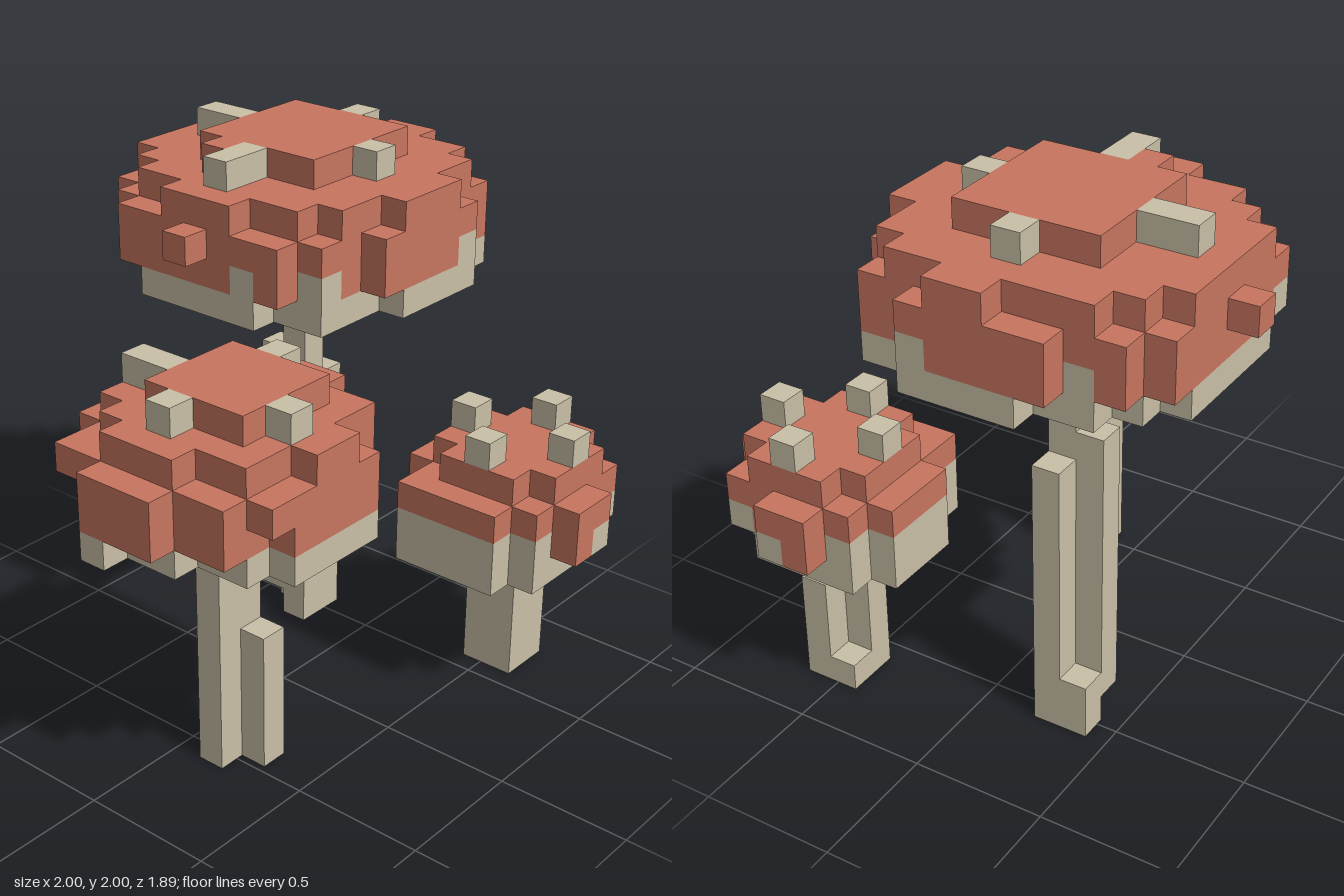
import * as THREE from 'three';

const V = 2 / 19; // size of one block
const red = new THREE.MeshStandardMaterial({ color: 0xc87660 });
red.name = 'capRed';
const cream = new THREE.MeshStandardMaterial({ color: 0xc9c0a7 });
cream.name = 'stemCream';

const key = (i, j, k) => `${i},${j},${k}`;

// outward normal and the two in-plane axes of each block face
const FACES = [
  [[1, 0, 0], [0, 1, 0], [0, 0, 1]], [[-1, 0, 0], [0, 0, 1], [0, 1, 0]],
  [[0, 1, 0], [0, 0, 1], [1, 0, 0]], [[0, -1, 0], [1, 0, 0], [0, 0, 1]],
  [[0, 0, 1], [1, 0, 0], [0, 1, 0]], [[0, 0, -1], [0, 1, 0], [1, 0, 0]],
];

// mesh of the exposed faces of one part's blocks
function blockMesh(name, material, cells, solid) {
  const pos = [], nor = [];
  for (const [i, j, k] of cells) {
    for (const [n, u, v] of FACES) {
      if (solid.has(key(i + n[0], j + n[1], k + n[2]))) continue;
      const corner = (a, b) => [i, j, k].map((c, d) => (c + 0.5 + n[d] / 2 + a * u[d] + b * v[d]) * V);
      const [p, q, r, s] = [corner(-0.5, -0.5), corner(0.5, -0.5), corner(0.5, 0.5), corner(-0.5, 0.5)];
      for (const c of [p, q, r, p, r, s]) {
        pos.push(c[0] - 1, c[1], c[2] - 9 * V);
        nor.push(...n);
      }
    }
  }
  const g = new THREE.BufferGeometry();
  g.setAttribute('position', new THREE.Float32BufferAttribute(pos, 3));
  g.setAttribute('normal', new THREE.Float32BufferAttribute(nor, 3));
  const mesh = new THREE.Mesh(g, material);
  mesh.name = name;
  return mesh;
}

/* layers: { y, z, rows: [[xMin, xMax], ...], rim: 'all' | 'edge' | undefined }
   stem: [x, z, yBottom, yTop]; spots and nubs: [x, y, z]
   patches: blocks [x, y, z] whose colour is the opposite of their layer */
function mushroom(name, { stem, layers, nubs = [], spots, patches }) {
  const parts = { stem: [], cap: [], rim: [], spots };
  const flip = new Set(patches.map((p) => key(...p)));
  for (const [i, k, lo, hi] of stem) for (let j = lo; j < hi; j++) parts.stem.push([i, j, k]);
  for (const { y, z, rows, rim } of layers) {
    const has = (i, k) => rows[k - z] && i >= rows[k - z][0] && i <= rows[k - z][1];
    rows.forEach(([a, b], r) => {
      for (let i = a; i <= b; i++) {
        const k = z + r;
        let edge = false;
        for (let dx = -1; dx < 2; dx++) for (let dz = -1; dz < 2; dz++) edge ||= !has(i + dx, k + dz);
        const pale = (rim === 'all' || (rim === 'edge' && edge)) !== flip.has(key(i, y, k));
        parts[pale ? 'rim' : 'cap'].push([i, y, k]);
      }
    });
  }
  parts.cap.push(...nubs);
  const solid = new Set(Object.values(parts).flat().map((c) => key(...c)));
  const group = new THREE.Group();
  group.name = name;
  for (const [part, cells] of Object.entries(parts)) {
    group.add(blockMesh(part, part === 'cap' ? red : cream, cells, solid));
  }
  return group;
}

export function createModel() {
  const model = new THREE.Group();
  model.name = 'mushrooms';

  // tall mushroom at the back
  const tallBody = [[10, 16], [9, 17], [8, 17], [8, 18], [8, 18], [8, 18], [8, 18], [8, 18], [8, 17], [9, 17], [11, 15]];
  model.add(mushroom('tallMushroom', {
    stem: [[13, 6, 0, 14], [14, 6, 0, 10], [13, 5, 1, 11], [14, 5, 0, 2]],
    layers: [
      { y: 14, z: 1, rim: 'edge', rows: [[11, 15], [10, 16], [9, 17], [8, 17], [8, 18], [8, 18], [8, 18], [8, 18], [9, 17], [9, 17], [12, 15]] },
      { y: 15, z: 1, rows: tallBody },
      { y: 16, z: 1, rows: tallBody },
      { y: 17, z: 1, rows: [[11, 15], [10, 16], [9, 17], [9, 17], [8, 17], [8, 18], [8, 18], [9, 17], [9, 17], [10, 16], [12, 14]] },
      { y: 18, z: 4, rows: [[11, 15], [10, 15], [11, 15], [11, 15], [11, 15]] },
    ],
    nubs: [[7, 16, 6], [13, 16, 0]],
    spots: [[9, 18, 6], [10, 18, 6], [13, 18, 2], [13, 18, 3], [16, 18, 6], [13, 18, 9]],
    patches: [[9, 15, 10], [15, 15, 11], [18, 15, 8], [17, 15, 3], [10, 15, 1], [8, 15, 8]],
  }));

  // middle mushroom
  model.add(mushroom('middleMushroom', {
    stem: [[4, 10, 0, 9], [5, 10, 0, 9], [5, 11, 0, 5]],
    layers: [
      { y: 9, z: 7, rim: 'edge', rows: [[3, 5], [2, 7], [0, 8], [1, 8], [1, 8], [2, 8], [2, 7], [3, 6]] },
      { y: 10, z: 6, rows: [[3, 5], [2, 7], [1, 8], [0, 8], [0, 8], [0, 8], [1, 8], [1, 7], [3, 6]] },
      { y: 11, z: 6, rows: [[3, 5], [1, 7], [1, 8], [0, 8], [0, 8], [0, 8], [1, 8], [1, 7], [2, 6]] },
      { y: 12, z: 7, rows: [[3, 5], [2, 7], [1, 7], [1, 8], [1, 8], [2, 7], [2, 7], [4, 5]] },
      { y: 13, z: 9, rows: [[3, 6], [3, 6], [3, 6], [3, 6]] },
    ],
    spots: [[4, 13, 7], [4, 13, 8], [2, 13, 10], [7, 13, 10], [4, 13, 13]],
    patches: [[8, 10, 8], [5, 10, 6]],
  }));

  // small mushroom at the front
  const smallBody = [[14, 16], [12, 17], [12, 18], [12, 18], [12, 17], [13, 17], [14, 15]];
  model.add(mushroom('smallMushroom', {
    stem: [[15, 14, 0, 5], [15, 13, 0, 5], [16, 14, 0, 4], [16, 13, 0, 1]],
    layers: [
      { y: 5, z: 11, rim: 'all', rows: [[14, 16], [12, 17], [12, 17], [12, 17], [12, 17], [13, 16]] },
      { y: 6, z: 11, rim: 'all', rows: smallBody },
      { y: 7, z: 11, rows: smallBody },
      { y: 8, z: 12, rows: [[14, 16], [13, 17], [13, 17], [13, 17], [14, 16]] },
    ],
    spots: [[15, 9, 12], [13, 9, 14], [17, 9, 14], [15, 9, 16]],
    patches: [[14, 6, 17], [18, 6, 13], [17, 6, 15], [16, 6, 16]],
  }));

  return model;
}
